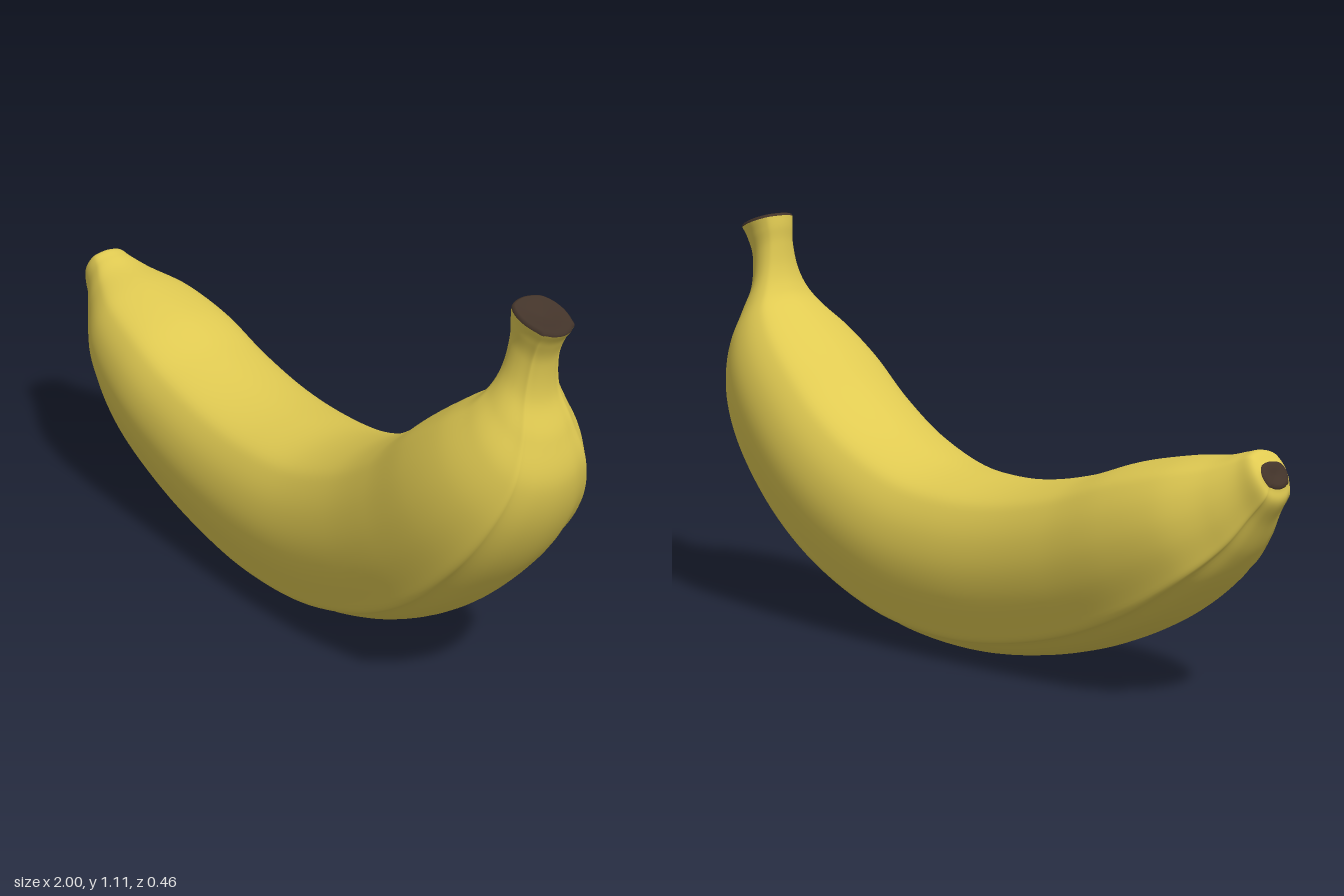
import * as THREE from 'three';

// Stations along the fruit: inner edge x, y, outer edge x, y, half width
const STATIONS = [
  [-0.966, 0.622, -0.999, 0.56, 0.044],
  [-0.938, 0.645, -0.998, 0.525, 0.06],
  [-0.90, 0.638, -0.962, 0.472, 0.076],
  [-0.84, 0.623, -0.905, 0.385, 0.115],
  [-0.72, 0.607, -0.81, 0.285, 0.176],
  [-0.56, 0.573, -0.66, 0.178, 0.208],
  [-0.39, 0.518, -0.45, 0.085, 0.216],
  [-0.20, 0.48, -0.22, 0.025, 0.22],
  [-0.02, 0.47, 0.0, 0.003, 0.225],
  [0.16, 0.487, 0.25, 0.025, 0.228],
  [0.34, 0.55, 0.50, 0.11, 0.23],
  [0.49, 0.64, 0.70, 0.235, 0.23],
  [0.61, 0.74, 0.86, 0.395, 0.222],
  [0.71, 0.815, 0.955, 0.54, 0.194],
  [0.785, 0.868, 0.995, 0.675, 0.147],
  [0.818, 0.912, 0.978, 0.79, 0.1],
  [0.837, 0.965, 0.947, 0.885, 0.068],
  [0.846, 1.03, 0.95, 0.975, 0.054],
  [0.847, 1.075, 0.972, 1.03, 0.057],
  [0.85, 1.105, 0.995, 1.062, 0.062],
];

// Half of the ridged cross-section: width fraction, height fraction
const HALF = [
  [0, 0], [0.4, 0.035], [0.66, 0.11], [0.77, 0.13], [0.84, 0.21], [0.96, 0.38],
  [1, 0.55], [0.95, 0.71], [0.83, 0.84], [0.68, 0.92], [0.38, 0.975], [0, 1],
];
const mirrored = HALF.slice(1, -1).reverse().map(([a, v]) => [-a, v]);
const SECTION = new THREE.CatmullRomCurve3(
  [...HALF, ...mirrored].map(([a, v]) => new THREE.Vector3(a, v, 0)), true, 'catmullrom', 0.5,
).getPoints(88).slice(0, -1);

// Skin a row of stations with the cross-section
function loft(stations) {
  const pos = [], index = [], n = SECTION.length;
  stations.forEach(([ux, uy, lx, ly, w], i) => {
    SECTION.forEach((s, j) => {
      pos.push(lx + (ux - lx) * s.y, ly + (uy - ly) * s.y, w * s.x);
      if (i === stations.length - 1) return;
      const a = i * n + j, b = i * n + (j + 1) % n;
      index.push(a, a + n, b, b, a + n, b + n);
    });
  });
  const g = new THREE.BufferGeometry();
  g.setAttribute('position', new THREE.Float32BufferAttribute(pos, 3));
  g.setIndex(index);
  g.computeVertexNormals();
  return g;
}

// Smooth the stations along the length
function refine(stations, count) {
  const curve = (f) => new THREE.CatmullRomCurve3(stations.map(f), false, 'catmullrom', 0.5);
  const inner = curve((s) => new THREE.Vector3(s[0], s[1], s[4])).getPoints(count);
  const outer = curve((s) => new THREE.Vector3(s[2], s[3], 0)).getPoints(count);
  return inner.map((p, i) => [p.x, p.y, outer[i].x, outer[i].y, p.z]);
}

// Rings shrinking towards the middle of an end: each is [scale, offset outwards]
function capRings([ux, uy, lx, ly, w], dir, rings) {
  const mx = (ux + lx) / 2, my = (uy + ly) / 2;
  const len = Math.hypot(ux - lx, uy - ly);
  const nx = dir * (uy - ly) / len, ny = -dir * (ux - lx) / len;
  return rings.map(([k, d]) => [
    mx + (ux - mx) * k + nx * d, my + (uy - my) * k + ny * d,
    mx + (lx - mx) * k + nx * d, my + (ly - my) * k + ny * d, w * k,
  ]);
}

export function createModel() {
  const peel = new THREE.MeshStandardMaterial({ name: 'yellow peel', color: 0xe0ca52 });
  const brown = new THREE.MeshStandardMaterial({ name: 'dark brown', color: 0x43342a });
  const group = new THREE.Group();
  group.name = 'banana';
  const add = (name, geometry, material) => {
    const mesh = new THREE.Mesh(geometry, material);
    mesh.name = name;
    group.add(mesh);
  };

  add('peel', loft(refine(STATIONS, 152)), peel);

  // Cut end of the stem, slightly hollow
  const stem = capRings(STATIONS.at(-1), 1,
    [[1, 0], [0.98, 0.006], [0.9, 0.009], [0.5, 0.003], [0.001, 0]]);
  add('stemCut', loft(stem), brown);

  // Dry blossom end
  const tip = capRings(STATIONS[0], -1,
    [[1, 0], [0.92, 0.004], [0.7, 0.006], [0.35, 0.003], [0.001, 0.002]]).reverse();
  add('blossomTip', loft(tip), brown);
  return group;
}
